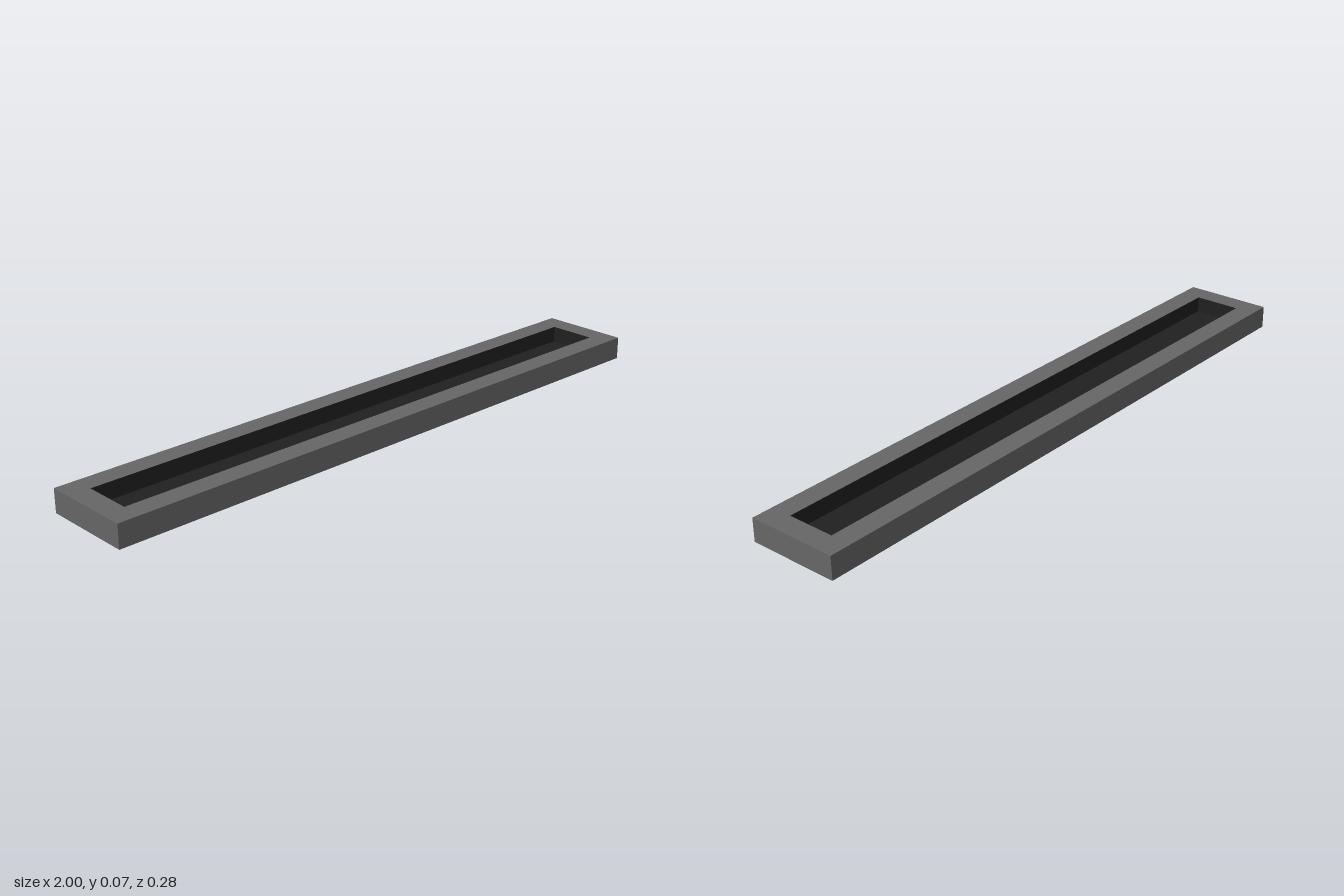
import * as THREE from 'three';

const LENGTH = 2, WIDTH = 0.285, HEIGHT = 0.072;
const RIM = 0.067, FLOOR = 0.02;

// Rectangle outline centred on the origin
function rect(path, w, h) {
  path.moveTo(-w / 2, -h / 2);
  path.lineTo(w / 2, -h / 2);
  path.lineTo(w / 2, h / 2);
  path.lineTo(-w / 2, h / 2);
  path.closePath();
  return path;
}

export function createModel() {
  const group = new THREE.Group();
  group.name = 'tray';
  const frameMat = new THREE.MeshStandardMaterial({ color: 0x666666 });
  const liningMat = new THREE.MeshStandardMaterial({ color: 0x202020 });
  const innerL = LENGTH - 2 * RIM, innerW = WIDTH - 2 * RIM;

  // Outer body: rim and outside walls, with dark walls inside the opening
  const outline = rect(new THREE.Shape(), LENGTH, WIDTH);
  outline.holes.push(rect(new THREE.Path(), innerL, innerW));
  const frameGeo = new THREE.ExtrudeGeometry(outline, { depth: HEIGHT, bevelEnabled: false });
  frameGeo.rotateX(-Math.PI / 2);
  const frame = new THREE.Mesh(frameGeo, frameMat);
  frame.name = 'frame';
  group.add(frame);

  // Base plate closing the underside of the opening
  const base = new THREE.Mesh(new THREE.BoxGeometry(innerL, FLOOR, innerW), frameMat);
  base.name = 'base';
  base.position.y = FLOOR / 2;
  group.add(base);

  // Dark lining of the recess: four thin walls and a floor
  const t = 0.001, depth = HEIGHT - FLOOR;
  const lining = new THREE.Group();
  lining.name = 'recessLining';
  const addPanel = (name, w, h, d, x, y, z) => {
    const panel = new THREE.Mesh(new THREE.BoxGeometry(w, h, d), liningMat);
    panel.name = name;
    panel.position.set(x, y, z);
    lining.add(panel);
  };
  addPanel('recessFloor', innerL, t, innerW, 0, FLOOR + t / 2, 0);
  for (const s of [-1, 1]) {
    addPanel('recessSide', innerL, depth, t, 0, FLOOR + depth / 2, s * (innerW - t) / 2);
    addPanel('recessEnd', t, depth, innerW, s * (innerL - t) / 2, FLOOR + depth / 2, 0);
  }
  group.add(lining);
  return group;
}
